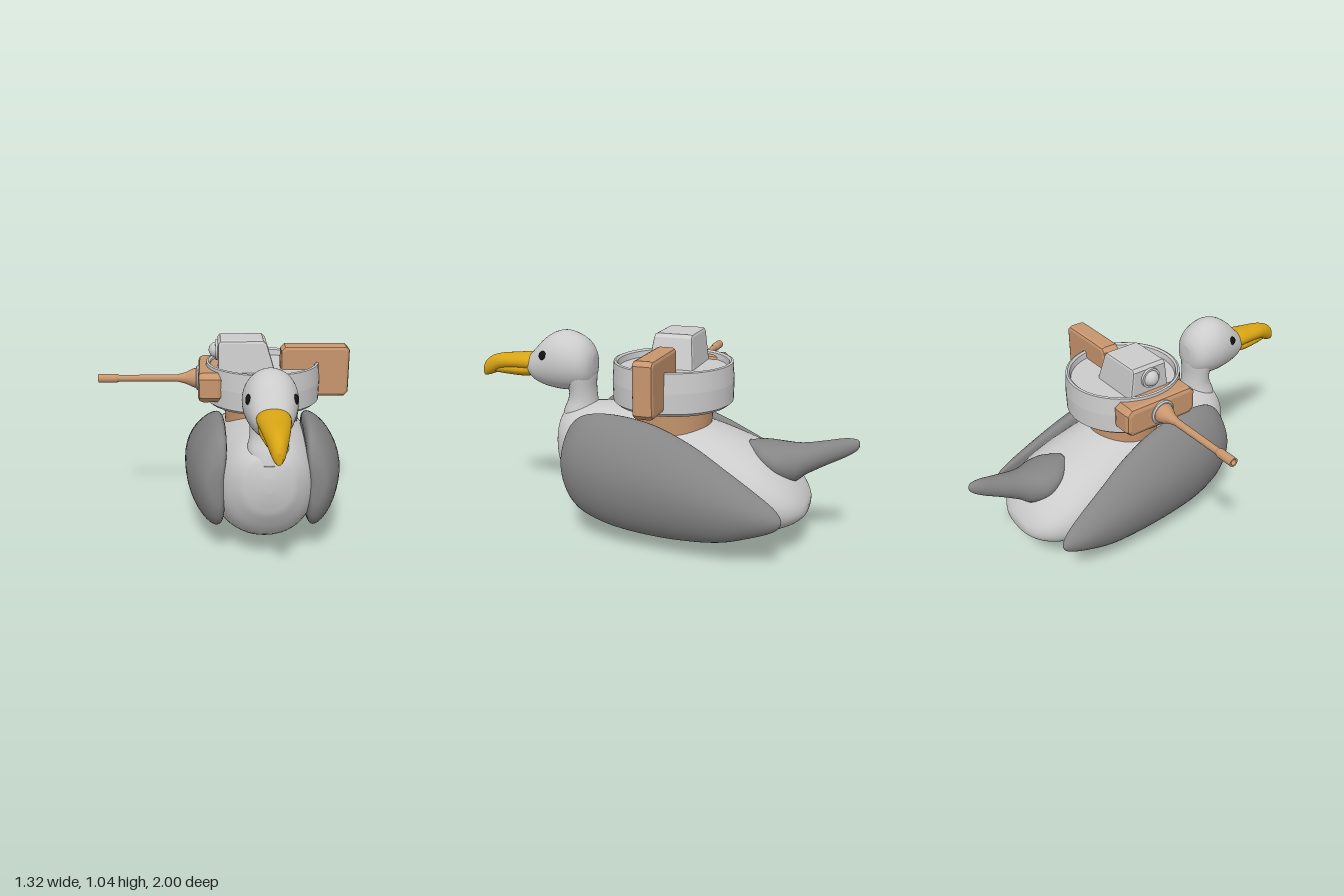
import * as THREE from 'three';

const paint = (color) => new THREE.MeshStandardMaterial({ color, side: THREE.DoubleSide });
const CX = 0.205; // the bird sits to one side of the turret's overhang
const TZ = -0.075; // turret axis

function add(parent, name, geometry, material, x = 0, y = 0, z = 0) {
  const mesh = new THREE.Mesh(geometry, material);
  mesh.name = name;
  mesh.position.set(x, y, z);
  parent.add(mesh);
  return mesh;
}

// Smoothly resample rows of numbers
function smooth(rows, steps) {
  const out = [], last = rows.length - 1;
  for (let i = 0; i < last; i++) {
    const a = rows[Math.max(i - 1, 0)], b = rows[i], c = rows[i + 1], d = rows[Math.min(i + 2, last)];
    for (let s = 0; s < steps; s++) {
      const t = s / steps;
      out.push(b.map((v, k) => v + 0.5 * t * (c[k] - a[k]
        + t * (2 * a[k] - 5 * v + 4 * c[k] - d[k] + t * (3 * (v - c[k]) + d[k] - a[k])))));
    }
  }
  out.push(rows[last]);
  return out;
}

// Closed skin through rings; section(row, angle) gives a point
function loft(rows, section, sides = 40, steps = 5) {
  const rings = smooth(rows, steps), pos = [], index = [];
  for (const row of rings) {
    for (let j = 0; j < sides; j++) pos.push(...section(row, (j / sides) * Math.PI * 2));
  }
  for (let i = 0; i < rings.length - 1; i++) {
    for (let j = 0; j < sides; j++) {
      const k = (j + 1) % sides, a = i * sides + j, b = i * sides + k;
      index.push(a, b, b + sides, a, b + sides, a + sides);
    }
  }
  // End caps
  for (const start of [0, (rings.length - 1) * sides]) {
    const mid = [0, 0, 0];
    for (let j = 0; j < sides * 3; j++) mid[j % 3] += pos[start * 3 + j] / sides;
    const c = pos.length / 3;
    pos.push(...mid);
    for (let j = 0; j < sides; j++) {
      const a = start + j, b = start + (j + 1) % sides;
      if (start === 0) index.push(c, b, a); else index.push(c, a, b);
    }
  }
  // Make sure the faces point outward
  const p = (i) => new THREE.Vector3().fromArray(pos, i * 3);
  let volume = 0;
  for (let i = 0; i < index.length; i += 3) volume += p(index[i]).dot(p(index[i + 1]).cross(p(index[i + 2])));
  if (volume < 0) index.reverse();
  const g = new THREE.BufferGeometry();
  g.setAttribute('position', new THREE.Float32BufferAttribute(pos, 3));
  g.setIndex(index);
  g.computeVertexNormals();
  return g;
}

const pow = (v, e) => Math.sign(v) * Math.abs(v) ** e;
// Rows of [z, top, bottom, half width]
const oval = (e = 1) => ([z, top, bottom, w], a) =>
  [w * pow(Math.cos(a), e), (top + bottom) / 2 + (top - bottom) / 2 * pow(Math.sin(a), e), z];
// Rows of [y, front z, back z, half width]
const upright = ([y, f, b, w], a) => [w * Math.cos(a), y, (f + b) / 2 + (f - b) / 2 * Math.sin(a)];
// Rows of [z, top, bottom, inner x, outer x], bulging outward in the middle
const wingSection = (side) => ([z, top, bottom, xi, xo], a) => {
  const s = Math.sin(a), w = (xo - xi) / 2;
  const x = (xi + xo) / 2 + w * Math.cos(a) - w * (s > 0 ? 0.8 : 0.45) * s * s;
  return [side * x, (top + bottom) / 2 + (top - bottom) / 2 * s, z];
};

// Box with all edges bevelled, extruded along z
function chamferBox(w, h, d, c) {
  const x = w / 2 - c, y = h / 2 - c, k = c * 0.6;
  const shape = new THREE.Shape([[x - k, -y], [x, k - y], [x, y - k], [x - k, y], [k - x, y], [-x, y - k], [-x, k - y], [k - x, -y]]
    .map(([u, v]) => new THREE.Vector2(u, v)));
  const g = new THREE.ExtrudeGeometry(shape, { depth: d - 2 * c, bevelThickness: c, bevelSize: c, bevelSegments: 2 });
  return g.translate(0, 0, c - d / 2);
}

// Sharp-edged lathe: each profile segment is turned separately
function turned(parent, name, points, material, x, y, z, sides = 48) {
  const group = new THREE.Group();
  group.name = name;
  group.position.set(x, y, z);
  for (let i = 0; i < points.length - 1; i++) {
    const pair = [points[i], points[i + 1]].map(([r, h]) => new THREE.Vector2(r, h));
    add(group, name + 'Band', new THREE.LatheGeometry(pair, sides), material);
  }
  parent.add(group);
  return group;
}

export function createModel() {
  const model = new THREE.Group();
  const grey = paint(0xcccccc), dark = paint(0x858585), tan = paint(0xc8966e);
  const yellow = paint(0xd9a514), black = paint(0x111111);

  const bird = new THREE.Group();
  bird.name = 'bird';
  bird.position.x = CX;
  model.add(bird);

  add(bird, 'body', loft([
    [0.545, 0.5, 0.43, 0.02], [0.53, 0.57, 0.35, 0.09], [0.5, 0.62, 0.27, 0.15], [0.4, 0.66, 0.14, 0.225],
    [0.2, 0.67, 0.045, 0.28], [0, 0.66, 0.004, 0.298], [-0.2, 0.625, 0.02, 0.305], [-0.4, 0.565, 0.057, 0.305],
    [-0.55, 0.5, 0.095, 0.29], [-0.66, 0.42, 0.13, 0.25], [-0.73, 0.35, 0.165, 0.19], [-0.77, 0.29, 0.2, 0.11],
    [-0.78, 0.26, 0.235, 0.03]], oval(0.93), 56), grey);

  add(bird, 'neck', loft([
    [0.56, 0.535, 0.31, 0.11], [0.62, 0.52, 0.335, 0.102], [0.68, 0.495, 0.347, 0.09],
    [0.74, 0.49, 0.352, 0.092], [0.82, 0.52, 0.35, 0.105], [0.88, 0.5, 0.37, 0.09]], upright, 32), grey);

  add(bird, 'head', loft([
    [0.347, 0.91, 0.82, 0.03], [0.36, 0.945, 0.77, 0.075], [0.39, 0.985, 0.74, 0.107], [0.44, 1.015, 0.725, 0.126],
    [0.5, 1.03, 0.718, 0.131], [0.56, 1.018, 0.722, 0.124], [0.62, 0.98, 0.732, 0.108],
    [0.67, 0.93, 0.752, 0.09], [0.71, 0.89, 0.785, 0.065]], oval(), 40), grey);

  // Hooked upper bill over a shorter lower bill
  add(bird, 'upperBill', loft([
    [0.67, 0.9, 0.8, 0.075], [0.72, 0.902, 0.805, 0.077], [0.8, 0.893, 0.805, 0.067], [0.88, 0.885, 0.795, 0.054],
    [0.94, 0.868, 0.77, 0.04], [0.98, 0.84, 0.757, 0.028], [0.998, 0.81, 0.757, 0.014]], oval(), 28), yellow);
  add(bird, 'lowerBill', loft([
    [0.67, 0.85, 0.785, 0.068], [0.74, 0.85, 0.773, 0.068], [0.84, 0.84, 0.774, 0.052],
    [0.92, 0.82, 0.778, 0.03]], oval(), 28), yellow);

  for (const side of [1, -1]) {
    const label = side > 0 ? 'left' : 'right';
    const eye = add(bird, label + 'Eye', new THREE.SphereGeometry(0.026, 20, 14), black, side * 0.104, 0.908, 0.587);
    eye.scale.x = 0.6;

    // x is measured from the bird's middle
    add(bird, label + 'Wing', loft([
      [0.43, 0.44, 0.36, 0.235, 0.25], [0.42, 0.53, 0.28, 0.215, 0.295], [0.38, 0.61, 0.2, 0.205, 0.33],
      [0.3, 0.66, 0.145, 0.205, 0.365], [0.15, 0.674, 0.105, 0.21, 0.4], [-0.05, 0.645, 0.088, 0.22, 0.415],
      [-0.25, 0.57, 0.096, 0.245, 0.417], [-0.42, 0.48, 0.125, 0.28, 0.412], [-0.56, 0.4, 0.175, 0.305, 0.4],
      [-0.65, 0.345, 0.215, 0.325, 0.38], [-0.69, 0.31, 0.245, 0.338, 0.365], [-0.703, 0.285, 0.27, 0.345, 0.355]],
    wingSection(side), 40), dark);
  }

  add(bird, 'tail', loft([
    [-0.47, 0.54, 0.48, 0.04], [-0.54, 0.546, 0.43, 0.11], [-0.62, 0.546, 0.37, 0.132], [-0.7, 0.548, 0.355, 0.1],
    [-0.76, 0.556, 0.4, 0.077], [-0.85, 0.577, 0.455, 0.055], [-0.93, 0.596, 0.5, 0.038],
    [-0.98, 0.597, 0.535, 0.022], [-0.998, 0.585, 0.558, 0.008]], oval(), 32), dark);

  // Turret ring, with a raised rim around a sunken roof
  turned(model, 'turretBase', [[0.19, 0.52], [0.2, 0.68], [0.215, 0.715]], tan, CX, 0, TZ);
  turned(model, 'turret', [[0, 0.705], [0.28, 0.705], [0.3, 0.722], [0.302, 0.82], [0.295, 0.915], [0.285, 0.919],
    [0.275, 0.91], [0.27, 0.88], [0, 0.88]], grey, CX, 0, TZ, 64);

  // Sight housing: a rounded block narrowed toward the top
  const sight = chamferBox(0.305, 0.19, 0.24, 0.014);
  const sp = sight.attributes.position;
  for (let i = 0; i < sp.count; i++) {
    const t = (sp.getY(i) + 0.095) / 0.19;
    sp.setX(i, (sp.getX(i) + 0.1525) * (1 - 0.19 * t) - 0.1525);
    sp.setZ(i, sp.getZ(i) * (1 - 0.2 * t));
  }
  sight.computeVertexNormals();
  add(model, 'sightHousing', sight, grey, 0.1225, 0.948, TZ);
  const lensRing = add(model, 'lensRing', new THREE.CylinderGeometry(0.052, 0.055, 0.035, 32), grey, -0.025, 0.975, TZ);
  lensRing.rotation.z = Math.PI / 2;
  add(model, 'lens', new THREE.SphereGeometry(0.042, 28, 18), grey, -0.035, 0.975, TZ);

  // Side box balancing the gun
  add(model, 'sideBox', chamferBox(0.36, 0.27, 0.1, 0.018), tan, 0.48, 0.866, TZ);

  // Gun mount, collar and barrel pointing to -x
  const mount = add(model, 'gunMount', chamferBox(0.42, 0.155, 0.125, 0.024), tan, -0.07, 0.822, TZ);
  mount.rotation.y = Math.PI / 2;
  const collar = turned(model, 'gunCollar', [[0.066, 0], [0.066, 0.02], [0.058, 0.026], [0, 0.026]], grey, -0.118, 0.823, TZ, 32);
  collar.rotation.z = Math.PI / 2;
  const barrel = turned(model, 'gunBarrel', [[0.055, 0], [0.047, 0.025], [0.03, 0.06], [0.019, 0.105], [0.017, 0.41],
    [0.023, 0.425], [0.023, 0.52], [0.015, 0.52], [0.015, 0.48], [0, 0.48]], tan, -0.14, 0.823, TZ, 24);
  barrel.rotation.z = Math.PI / 2;

  return model;
}
